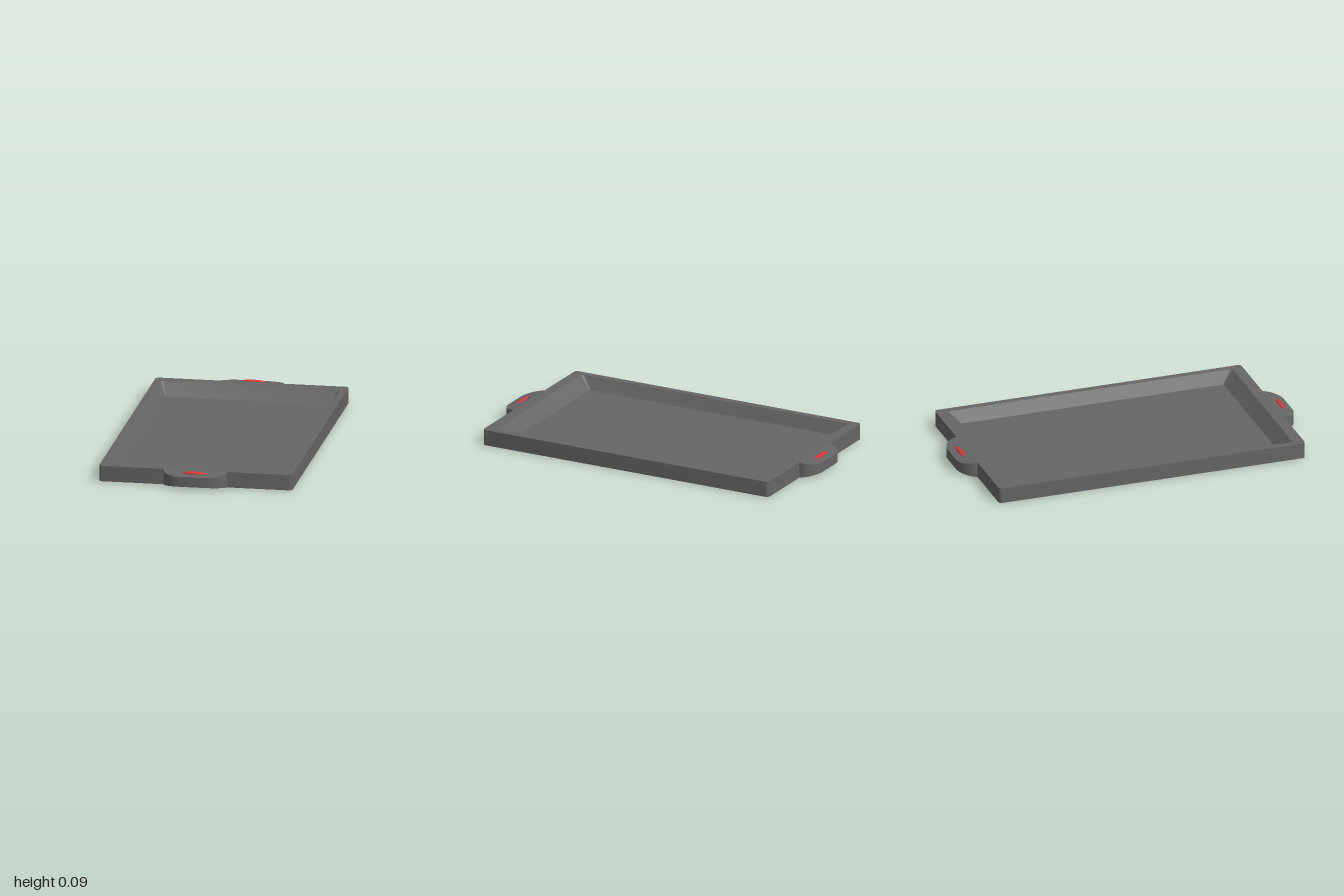
import * as THREE from 'three';
import { toCreasedNormals } from 'three/addons/utils/BufferGeometryUtils.js';

const H = 0.09;       // tray height
const EDGE = 0.91;    // half length of the tray body
const ARC = 4;        // segments per rounded corner

// Rounded rectangle ring in the xz plane at height y
function ring(halfX, halfZ, radius, y) {
  const points = [];
  const corners = [[1, 1], [-1, 1], [-1, -1], [1, -1]];
  corners.forEach(([sx, sz], c) => {
    for (let i = 0; i <= ARC; i++) {
      const a = (c + i / ARC) * Math.PI / 2;
      points.push(new THREE.Vector3(
        sx * (halfX - radius) + radius * Math.cos(a), y,
        sz * (halfZ - radius) + radius * Math.sin(a)));
    }
  });
  return points;
}

// Skin successive rings, closing the first and last with a fan
function loft(rings) {
  const pos = [];
  const tri = (...pts) => pts.forEach(p => pos.push(p.x, p.y, p.z));
  const n = rings[0].length;
  const first = rings[0], last = rings[rings.length - 1];
  const c0 = new THREE.Vector3(0, first[0].y, 0);
  const c1 = new THREE.Vector3(0, last[0].y, 0);
  for (let i = 0; i < n; i++) {
    const j = (i + 1) % n;
    tri(c0, first[i], first[j]);
    for (let k = 0; k < rings.length - 1; k++) {
      const a = rings[k], b = rings[k + 1];
      tri(a[i], b[i], b[j]);
      tri(a[i], b[j], a[j]);
    }
    tri(c1, last[j], last[i]);
  }
  const geometry = new THREE.BufferGeometry();
  geometry.setAttribute('position', new THREE.Float32BufferAttribute(pos, 3));
  return toCreasedNormals(geometry, 0.5);
}

// Rounded tab that thins towards its outer edge
function handleGeometry() {
  const shape = new THREE.Shape();
  shape.moveTo(-0.18, -EDGE);
  shape.lineTo(-0.18, -0.92);
  shape.bezierCurveTo(-0.17, -0.965, -0.13, -0.995, -0.08, -1);
  shape.lineTo(0.08, -1);
  shape.bezierCurveTo(0.13, -0.995, 0.17, -0.965, 0.18, -0.92);
  shape.lineTo(0.18, -EDGE);
  const geometry = new THREE.ExtrudeGeometry(shape, { depth: H, bevelEnabled: false, curveSegments: 8 });
  geometry.rotateX(-Math.PI / 2);
  const p = geometry.attributes.position;
  for (let i = 0; i < p.count; i++) {
    const inset = 0.016 * (p.getZ(i) - EDGE) / (1 - EDGE);
    p.setY(i, p.getY(i) > H / 2 ? H - inset : inset);
  }
  return toCreasedNormals(geometry, 0.5);
}

export function createModel() {
  const tray = new THREE.Group();
  tray.name = 'tray';
  const dark = new THREE.MeshStandardMaterial({ color: 0x666666 });
  const red = new THREE.MeshStandardMaterial({ color: 0xdd3333 });

  // Pan with outer wall, flat rim, sloping inner wall and floor
  const pan = new THREE.Mesh(loft([
    ring(0.55, EDGE, 0.02, 0),
    ring(0.55, EDGE, 0.02, H),
    ring(0.512, 0.847, 0.018, H),
    ring(0.475, 0.782, 0.008, 0.02),
  ]), dark);
  pan.name = 'pan';
  tray.add(pan);

  // A handle with a red inlay at each end
  const tab = handleGeometry();
  const bead = new THREE.SphereGeometry(1, 24, 12).scale(0.068, 0.009, 0.013);
  for (const [name, angle] of [['frontHandle', 0], ['backHandle', Math.PI]]) {
    const handle = new THREE.Group();
    handle.name = name;
    const grip = new THREE.Mesh(tab, dark);
    grip.name = 'grip';
    const inlay = new THREE.Mesh(bead, red);
    inlay.name = 'inlay';
    inlay.position.set(0, 0.084, 0.95);
    inlay.rotation.x = 0.18;
    handle.add(grip, inlay);
    handle.rotation.y = angle;
    tray.add(handle);
  }
  return tray;
}
